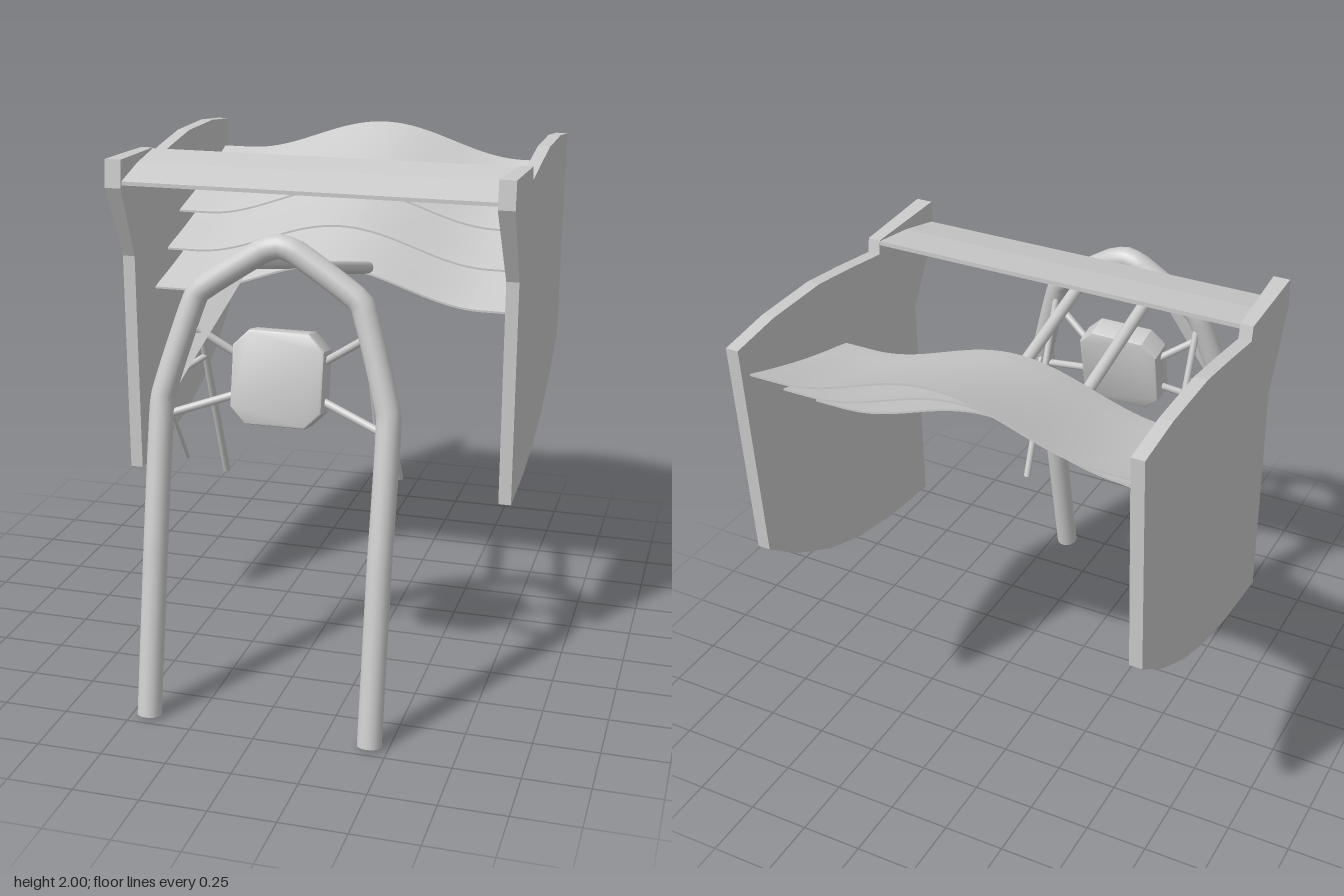
import * as THREE from 'three';
import { toCreasedNormals } from 'three/addons/utils/BufferGeometryUtils.js';

const V = (x, y, z) => new THREE.Vector3(x, y, z);

export function createModel() {
  const model = new THREE.Group();
  const mat = new THREE.MeshStandardMaterial({ color: 0xcccccc });
  const thin = new THREE.MeshStandardMaterial({ color: 0xcccccc, side: THREE.DoubleSide });

  const add = (name, geometry, material = mat) => {
    const mesh = new THREE.Mesh(geometry, material);
    mesh.name = name;
    model.add(mesh);
    return mesh;
  };

  // Straight round bar between two points
  const bar = (name, a, b, r, sides = 12) => {
    const dir = b.clone().sub(a);
    const mesh = add(name, new THREE.CylinderGeometry(r, r, dir.length(), sides));
    mesh.position.copy(a).add(b).multiplyScalar(0.5);
    mesh.quaternion.setFromUnitVectors(V(0, 1, 0), dir.normalize());
  };

  // Extrude a (z, y) outline along x, starting at x0
  const spanwise = (points, x0, width, steps = 1) => {
    const shape = new THREE.Shape(points.map(([z, y]) => new THREE.Vector2(z, y)));
    const g = new THREE.ExtrudeGeometry(shape, { depth: width, steps, bevelEnabled: false });
    return g.rotateY(-Math.PI / 2).translate(x0 + width, 0, 0);
  };

  // Side plates, slightly thicker inward at the upper front lip
  const plate = [
    [0.31, 2], [-0.06, 1.985], [-0.07, 1.93], [-0.28, 1.963], [-0.48, 1.99], [-0.77, 1.99],
    [-0.99, 1.965], [-0.95, 1.09], [-0.78, 0.96], [-0.56, 0.84], [-0.36, 0.77], [-0.12, 0.72],
    [0.17, 0.695], [0.17, 1.59], [0.32, 1.89],
  ];
  for (const s of [1, -1]) {
    const g = spanwise(plate, s > 0 ? 0.745 : -0.795, 0.05);
    const p = g.attributes.position;
    for (let i = 0; i < p.count; i++) {
      if (p.getZ(i) > 0.25 && Math.abs(p.getX(i)) < 0.77) p.setX(i, s * 0.73);
    }
    g.computeVertexNormals();
    add(s > 0 ? 'leftEndPlate' : 'rightEndPlate', g);
  }

  // Upper flap, low at the front edge
  add('upperFlap', spanwise(
    [[0.305, 1.9], [0.305, 1.915], [0.12, 1.958], [-0.06, 1.982], [-0.06, 1.965], [0.12, 1.938]],
    -0.745, 1.49));

  // Three stacked wing elements with a raised wave in the middle of the span
  const wave = (x) => 0.07 * (1 + Math.cos(Math.PI * Math.min(1, Math.abs(x) / 0.62)));
  const elements = [
    ['lowerWing', -0.04, 1.41, -0.57, 1.54],
    ['middleWing', -0.19, 1.54, -0.76, 1.69],
    ['topWing', -0.34, 1.67, -0.94, 1.845],
  ];
  for (const [name, z0, y0, z1, y1] of elements) {
    const upper = [], lower = [];
    for (let i = 0; i <= 10; i++) {
      const t = i / 10;
      const z = z0 + (z1 - z0) * t;
      const y = y0 + (y1 - y0) * t ** 1.4;
      const half = 0.004 + 0.03 * Math.sqrt(t) * (1 - t);
      upper.push([z, y + half]);
      lower.unshift([z, y - half]);
    }
    const g = spanwise([...upper, ...lower], -0.745, 1.49, 48);
    const p = g.attributes.position;
    for (let i = 0; i < p.count; i++) p.setY(i, p.getY(i) + wave(p.getX(i)));
    add(name, toCreasedNormals(g, 0.6));
  }

  // Bent tube hoop with its two legs
  const half = [
    V(0.43, 0.01, 0.945), V(0.43, 0.68, 0.82), V(0.43, 1.2, 0.705),
    V(0.31, 1.59, 0.63), V(0.06, 1.76, 0.615),
  ];
  const mirrored = half.map((p) => V(-p.x, p.y, p.z)).reverse();
  const path = new THREE.CatmullRomCurve3(
    [...half, V(0, 1.777, 0.615), ...mirrored], false, 'catmullrom', 0.12);
  add('hoopFrame', new THREE.TubeGeometry(path, 120, 0.046, 20));

  for (const s of [1, -1]) {
    const side = s > 0 ? 'left' : 'right';
    // Foot cap
    const cap = add(side + 'FootCap', new THREE.CircleGeometry(0.046, 20));
    cap.position.set(s * 0.43, 0.01, 0.945);
    cap.quaternion.setFromUnitVectors(V(0, 0, 1), half[0].clone().sub(half[1]).normalize());
    // Struts carrying the wing
    bar(side + 'WingStrut', V(s * 0.15, 1.71, 0.62), V(s * 0.15, 1.55, -0.06), 0.025, 16);
    // Braces behind the legs
    bar(side + 'LongBrace', V(s * 0.32, 1.53, 0.615), V(s * 0.32, 0.785, 0.325), 0.014);
    bar(side + 'ShortBrace', V(s * 0.425, 1.21, 0.69), V(s * 0.425, 0.885, 0.48), 0.009);
    bar(side + 'BraceLink', V(s * 0.41, 1.27, 0.68), V(s * 0.32, 1.32, 0.54), 0.012);
    // Arms holding the lamp
    bar(side + 'UpperLampArm', V(s * 0.14, 1.34, 0.6), V(s * 0.33, 1.47, 0.65), 0.015);
    bar(side + 'LowerLampArm', V(s * 0.14, 1.22, 0.62), V(s * 0.42, 1.135, 0.71), 0.015);
  }

  // Lamp block with cut corners, tilted with the legs
  const w = 0.165, h = 0.165, c = 0.055;
  const outline = new THREE.Shape([
    [w - c, -h], [w, -h + c], [w, h - c], [w - c, h],
    [-w + c, h], [-w, h - c], [-w, -h + c], [-w + c, -h],
  ].map(([x, y]) => new THREE.Vector2(x, y)));
  const lampGeo = new THREE.ExtrudeGeometry(outline, {
    depth: 0.09, bevelThickness: 0.012, bevelSize: 0.01, bevelSegments: 2,
  }).translate(0, 0, -0.045);
  const lamp = add('lampBlock', toCreasedNormals(lampGeo, 0.6));
  lamp.position.set(0, 1.285, 0.615);
  lamp.rotation.x = -0.2;

  // Thin gusset on the right shoulder of the hoop
  const gusset = new THREE.BufferGeometry().setFromPoints(
    [V(-0.39, 1.22, 0.69), V(-0.08, 1.75, 0.61), V(-0.31, 1.59, 0.63)]);
  gusset.computeVertexNormals();
  add('shoulderGusset', gusset, thin);

  return model;
}
